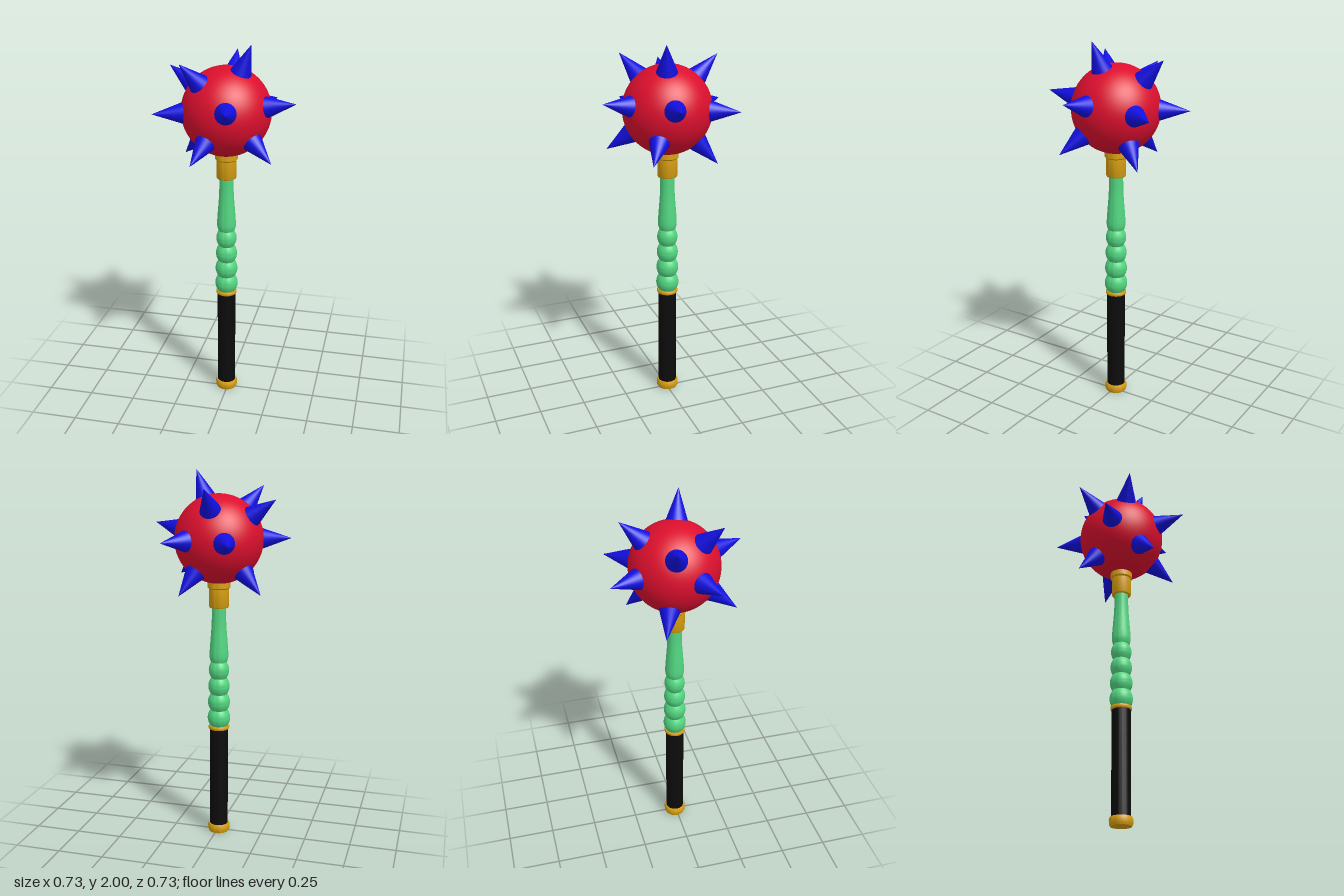
import * as THREE from 'three';
import { toCreasedNormals } from 'three/addons/utils/BufferGeometryUtils.js';

const material = color => new THREE.MeshStandardMaterial({ color });
const gold = material(0xd9a011);
const green = material(0x52d681);
const black = material(0x0c0c0c);
const red = material(0xdc0f2e);
const blue = material(0x120fe0);

const AXIS = -0.008; // x and z of the shaft
const HEAD = new THREE.Vector3(AXIS, 1.647, AXIS);
const HEAD_RADIUS = 0.234;
const SPIKE_TIP = 0.385;

// Turned part from [radius, height] pairs, listed bottom to top
function turned(name, profile, mat) {
  const points = profile.map(([r, y]) => new THREE.Vector2(r, y));
  const geometry = toCreasedNormals(new THREE.LatheGeometry(points, 40), 0.6);
  const mesh = new THREE.Mesh(geometry, mat);
  mesh.name = name;
  mesh.position.set(AXIS, 0, AXIS);
  return mesh;
}

// Green shaft: four stacked bulges, then a neck that swells and narrows
function shaftProfile() {
  const profile = [[0, 0.625]];
  const bulges = [[0.625, 0.715, 0.062], [0.715, 0.805, 0.0605], [0.805, 0.895, 0.058], [0.895, 0.985, 0.0555]];
  for (const [y0, y1, r] of bulges) {
    for (let i = 0; i <= 10; i++) {
      const t = i / 10;
      profile.push([r - 0.015 * (2 * t - 1) ** 2, y0 + (y1 - y0) * t]);
    }
  }
  const neck = new THREE.SplineCurve([
    [0.044, 0.986], [0.0495, 1.005], [0.051, 1.03], [0.047, 1.09], [0.0415, 1.16], [0.0385, 1.22], [0.038, 1.3],
  ].map(p => new THREE.Vector2(...p)));
  for (const p of neck.getPoints(24)) profile.push([p.x, p.y]);
  return profile;
}

export function createModel() {
  const model = new THREE.Group();
  model.name = 'spikedMace';

  // Handle
  model.add(
    turned('pommel', [[0, 0], [0.055, 0], [0.06, 0.01], [0.061, 0.035], [0.056, 0.047], [0, 0.047]], gold),
    turned('grip', [[0, 0.04], [0.05, 0.04], [0.05, 0.612], [0, 0.612]], black),
    turned('gripRing', [[0, 0.607], [0.054, 0.607], [0.057, 0.612], [0.057, 0.622], [0.054, 0.627], [0, 0.627]], gold),
    turned('shaft', shaftProfile(), green),
    turned('collar', [[0, 1.285], [0.05, 1.285], [0.053, 1.291], [0.053, 1.385], [0.06, 1.392], [0.06, 1.44], [0, 1.44]], gold),
  );

  // Head
  const ball = new THREE.Mesh(new THREE.SphereGeometry(HEAD_RADIUS, 64, 40), red);
  ball.name = 'ball';
  ball.position.copy(HEAD);
  model.add(ball);

  // Spikes, each given by its direction from the ball's centre
  const directions = [
    [0.138, 0.353, 0.057], [-0.192, 0.268, 0.191], [0, 0.268, -0.274], [-0.313, 0.21, -0.066],
    [-0.356, 0, 0.146], [-0.146, 0, -0.356], [0.214, 0.005, -0.321],
    [0.37, 0.073, 0.072], [0.074, 0.073, 0.368],
    [0.267, -0.213, 0.175], [-0.12, -0.213, 0.294], [-0.251, -0.271, -0.107], [0.151, -0.271, -0.22],
  ];
  const inner = 0.2; // spikes start inside the ball
  const cone = new THREE.ConeGeometry(0.064, SPIKE_TIP - inner, 32);
  cone.translate(0, (SPIKE_TIP + inner) / 2, 0);
  const spikes = new THREE.Group();
  spikes.name = 'spikes';
  spikes.position.copy(HEAD);
  const up = new THREE.Vector3(0, 1, 0);
  for (const d of directions) {
    const spike = new THREE.Mesh(cone, blue);
    spike.name = 'spike';
    spike.quaternion.setFromUnitVectors(up, new THREE.Vector3(...d).normalize());
    spikes.add(spike);
  }
  model.add(spikes);
  return model;
}
